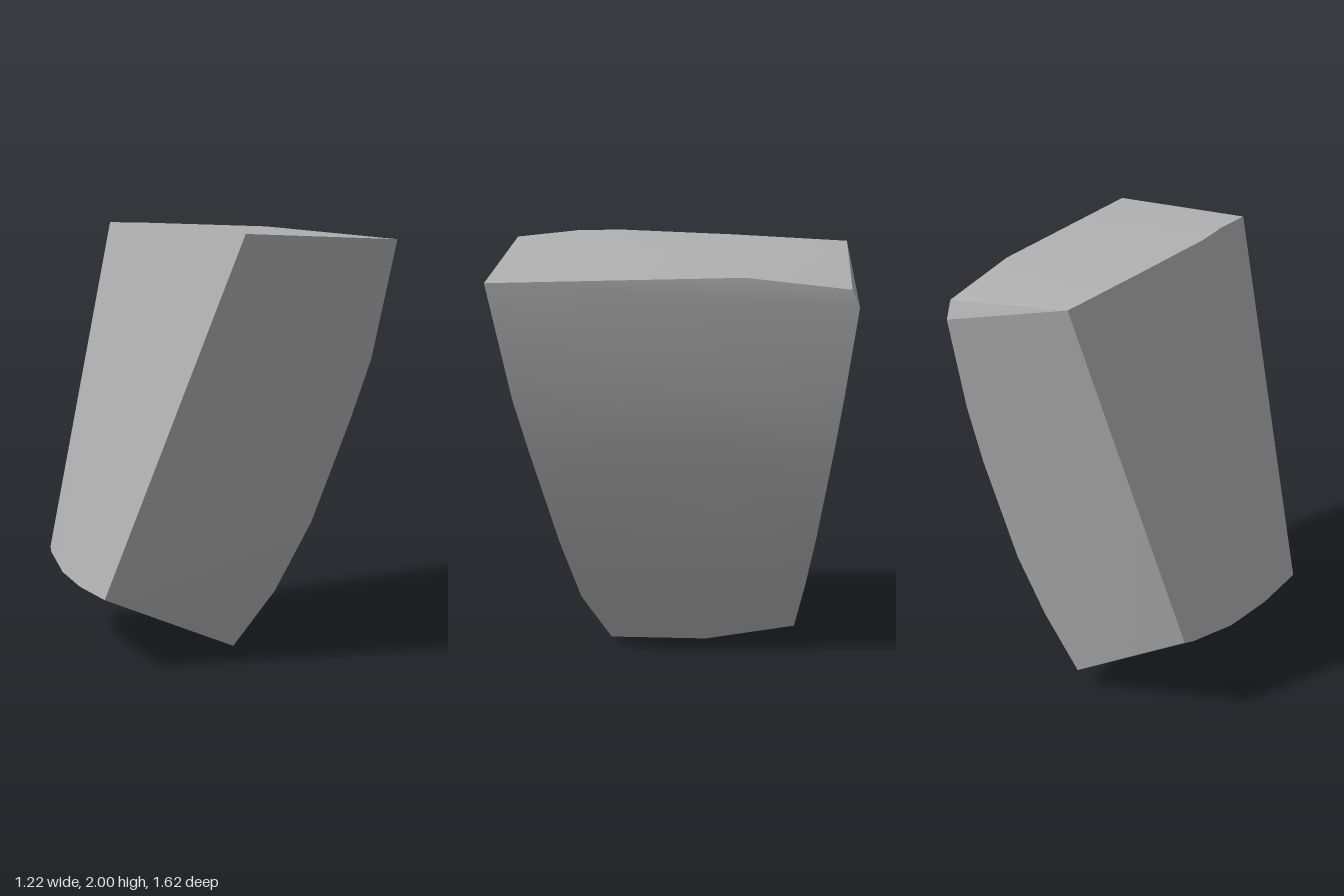
import * as THREE from 'three';
import { ConvexGeometry } from 'three/addons/geometries/ConvexGeometry.js';
import { toCreasedNormals } from 'three/addons/utils/BufferGeometryUtils.js';

export function createModel() {
  const group = new THREE.Group();
  group.name = 'stone';
  const stoneGrey = new THREE.MeshStandardMaterial({ color: 0xb0b0b0 });
  stoneGrey.name = 'stoneGrey';

  // bowed outer side: three upright edges, front, middle and back
  const frontEdge = [
    [0.07, 0.02, 0.29], [0.21, 0.3, 0.43], [0.35, 0.63, 0.52],
    [0.48, 1.13, 0.645], [0.54, 1.4, 0.71], [0.6, 1.94, 0.81],
  ];
  const middleEdge = [
    [0.065, 0, -0.17], [0.23, 0.32, -0.2], [0.365, 0.65, -0.23],
    [0.495, 1.13, -0.26], [0.555, 1.4, -0.28], [0.6, 1.955, -0.3],
  ];
  const backEdge = [
    [0.1, 0.08, -0.6], [0.25, 0.36, -0.632], [0.37, 0.65, -0.664],
    [0.5, 1.13, -0.718], [0.555, 1.4, -0.748], [0.605, 1.82, -0.795],
    [0.605, 1.9, -0.76],
  ];
  // rounded inner side: its upper and lower rims
  const upperRim = [
    [-0.12, 1.975, 0.7], [-0.135, 2, 0.42], [-0.14, 2, 0.22],
    [-0.08, 1.987, -0.3], [-0.01, 1.97, -0.81],
  ];
  const lowerRim = [
    [-0.61, 0.33, 0.3], [-0.59, 0.325, 0], [-0.545, 0.33, -0.28],
    [-0.48, 0.37, -0.55], [-0.46, 0.384, -0.6],
  ];

  const corners = [frontEdge, middleEdge, backEdge, upperRim, lowerRim]
    .flat().map((p) => new THREE.Vector3(...p));
  const geometry = toCreasedNormals(new ConvexGeometry(corners), 0.5);
  const block = new THREE.Mesh(geometry, stoneGrey);
  block.name = 'stoneBlock';
  group.add(block);
  return group;
}
